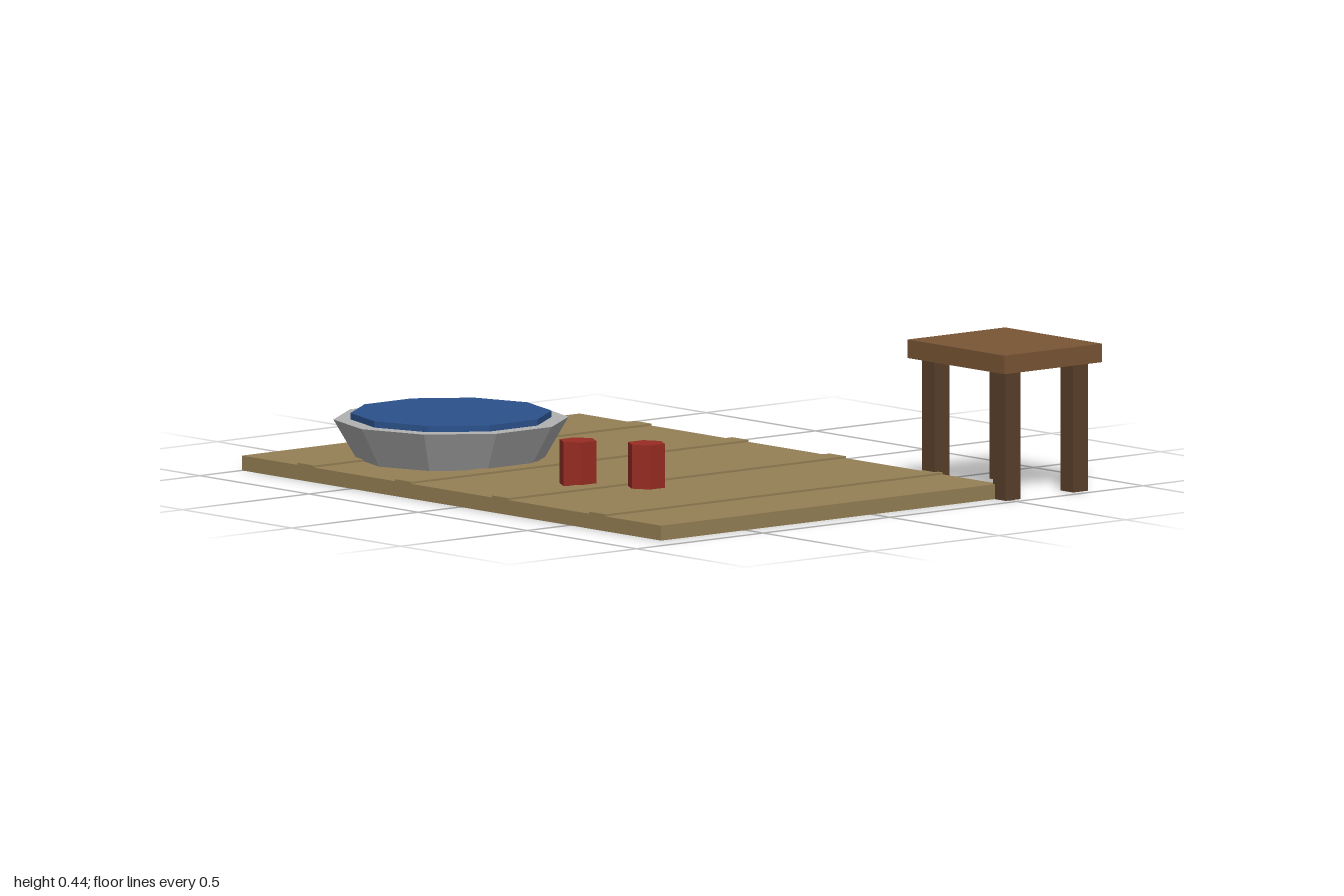
import * as THREE from 'three';

const makeMaterial = (name, color) => {
  const m = new THREE.MeshStandardMaterial({ color, flatShading: true });
  m.name = name;
  return m;
};

export function createModel() {
  const model = new THREE.Group();
  model.name = 'poolDeck';
  const tan = makeMaterial('tanWood', 0x968055);
  const brown = makeMaterial('brownWood', 0x7a5535);
  const darkBrown = makeMaterial('darkBrownWood', 0x5a3f2b);
  const grey = makeMaterial('greyStone', 0xb2b2b2);
  const blue = makeMaterial('blueWater', 0x2b528c);
  const red = makeMaterial('redPaint', 0x982c22);

  const add = (name, geometry, material, x, y, z, parent = model) => {
    const mesh = new THREE.Mesh(geometry, material);
    mesh.name = name;
    mesh.position.set(x, y, z);
    parent.add(mesh);
    return mesh;
  };

  // Deck with four slightly raised battens
  const deckX = -0.04, deckZ = 0.167, deckTop = 0.045;
  add('deck', new THREE.BoxGeometry(1.92, deckTop, 1.333), tan, deckX, deckTop / 2, deckZ);
  for (let i = 0; i < 4; i++) {
    add('deckBatten', new THREE.BoxGeometry(0.075, 0.006, 1.333), tan,
      deckX + (i - 1.5) * 0.445, deckTop + 0.003, deckZ);
  }

  // Ten-sided basin filled with water
  const basin = new THREE.Group();
  basin.name = 'basin';
  basin.position.set(-0.557, 0, 0.39);
  model.add(basin);
  add('basinWall', new THREE.CylinderGeometry(0.353, 0.283, 0.12, 10), grey, 0, 0.105, 0, basin);
  add('water', new THREE.CylinderGeometry(0.302, 0.302, 0.04, 10), blue, 0, 0.164, 0, basin);

  // Two hexagonal cups
  for (const [x, z] of [[0.108, 0.462], [0.286, 0.345]]) {
    add('cup', new THREE.CylinderGeometry(0.058, 0.058, 0.133, 6), red, x, 0.1125, z);
  }

  // Stool behind the deck corner
  const stool = new THREE.Group();
  stool.name = 'stool';
  stool.position.set(0.778, 0, -0.646);
  model.add(stool);
  add('seat', new THREE.BoxGeometry(0.444, 0.056, 0.385), brown, 0, 0.417, 0, stool);
  for (const sx of [-1, 1]) {
    for (const sz of [-1, 1]) {
      add('leg', new THREE.BoxGeometry(0.058, 0.39, 0.058), darkBrown, sx * 0.163, 0.195, sz * 0.133, stool);
    }
  }
  return model;
}
